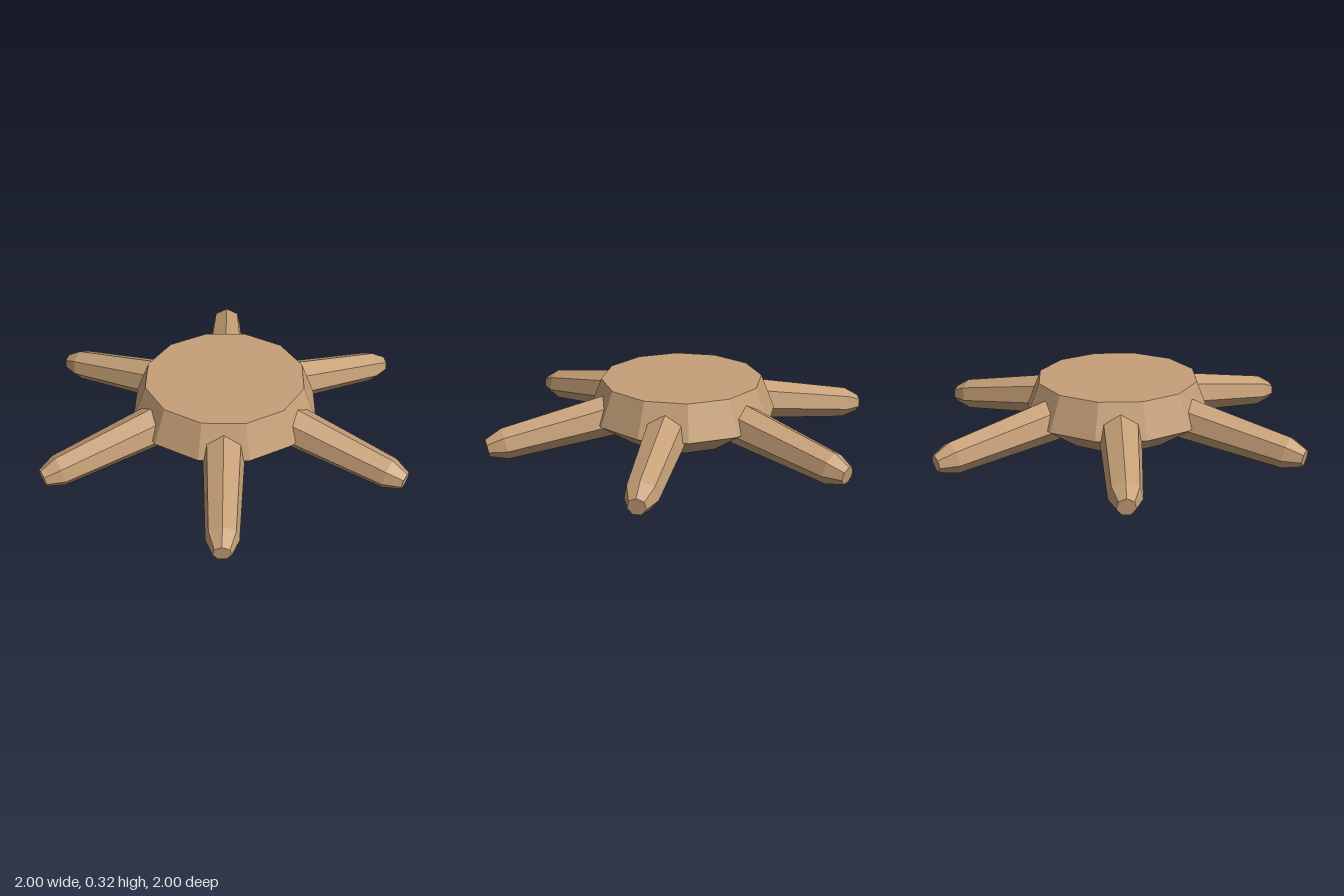
import * as THREE from 'three';

const tan = new THREE.MeshStandardMaterial({ color: 0xc6a078 });
tan.name = 'tan';

// Faceted solid of revolution from [radius, height] pairs, bottom to top
function faceted(profile, sides, phiStart = 0) {
  const points = profile.map(([r, y]) => new THREE.Vector2(r, y));
  const geometry = new THREE.LatheGeometry(points, sides, phiStart).toNonIndexed();
  geometry.computeVertexNormals();
  return geometry;
}

export function createModel() {
  const model = new THREE.Group();
  model.name = 'sixArmedHub';

  // Twelve-sided hub, widest below the middle
  const hub = new THREE.Mesh(
    faceted([[0, 0.025], [0.3, 0.025], [0.485, 0.15], [0.415, 0.327], [0, 0.327]], 12), tan);
  hub.name = 'hub';
  model.add(hub);

  // Seven-sided tapering arm, ridge up and flat side down, sloping to the ground
  const rootRadius = 0.3, tipRadius = 1.02, slope = 0.16, tipHeight = 0.066;
  const reach = tipRadius - rootRadius;
  const length = Math.hypot(reach, reach * slope);
  const armGeometry = faceted(
    [[0, 0], [0.112, 0], [0.081, length - 0.088], [0.045, length], [0, length]], 7, Math.PI);
  armGeometry.rotateX(Math.PI / 2 + Math.atan(slope));
  armGeometry.translate(0, tipHeight + reach * slope, rootRadius);

  for (let i = 0; i < 6; i++) {
    const arm = new THREE.Mesh(armGeometry, tan);
    arm.name = `arm${i + 1}`;
    arm.rotation.y = THREE.MathUtils.degToRad(15 + 60 * i);
    model.add(arm);
  }
  return model;
}
